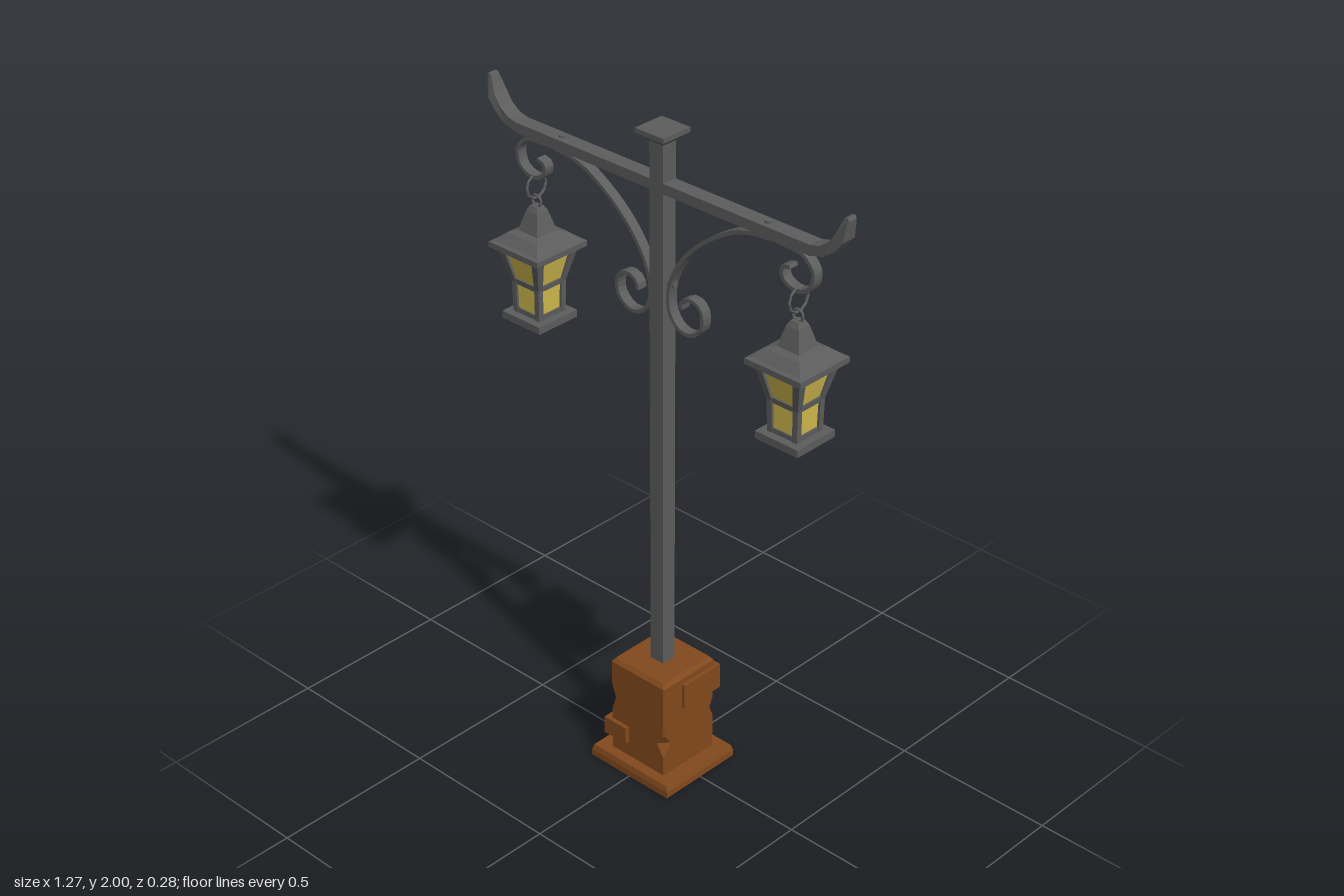
import * as THREE from 'three';

const iron = new THREE.MeshStandardMaterial({ color: 0x5c5c5c });
iron.name = 'iron grey';
const wood = new THREE.MeshStandardMaterial({ color: 0x82491d });
wood.name = 'brown wood';
const glass = new THREE.MeshStandardMaterial({ color: 0xcdb64c });
glass.name = 'yellow glass';

// Faceted mesh with a name
function part(name, geometry, material, parent) {
  const g = geometry.index ? geometry.toNonIndexed() : geometry;
  g.computeVertexNormals();
  const mesh = new THREE.Mesh(g, material);
  mesh.name = name;
  parent.add(mesh);
  return mesh;
}

// Square stepped solid from [half width, y] pairs, bottom to top
function tiers(pairs) {
  const pts = [[0, pairs[0][1]], ...pairs, [0, pairs[pairs.length - 1][1]]];
  return new THREE.LatheGeometry(
    pts.map(([h, y]) => new THREE.Vector2(h * Math.SQRT2, y)), 4, Math.PI / 4);
}

// Closed solid through horizontal loops of [x, y, z] points
function loft(loops) {
  const n = loops[0].length, last = (loops.length - 1) * n, index = [];
  for (let l = 0; l < loops.length - 1; l++) {
    for (let i = 0; i < n; i++) {
      const a = l * n + i, b = l * n + (i + 1) % n;
      index.push(a, b, a + n, b, b + n, a + n);
    }
  }
  for (let i = 1; i < n - 1; i++) index.push(0, i + 1, i, last, last + i, last + i + 1);
  const g = new THREE.BufferGeometry();
  g.setAttribute('position', new THREE.Float32BufferAttribute(loops.flat(2), 3));
  g.setIndex(index);
  return g;
}

// Flat bar following a curve in the xy plane
function ribbon(points, thickness, depth) {
  const curve = new THREE.CatmullRomCurve3(points.map(([x, y]) => new THREE.Vector3(x, y, 0)));
  const left = [], right = [];
  for (let i = 0; i <= 48; i++) {
    const p = curve.getPointAt(i / 48), t = curve.getTangentAt(i / 48);
    const dx = -t.y * thickness / 2, dy = t.x * thickness / 2;
    left.push(new THREE.Vector2(p.x + dx, p.y + dy));
    right.unshift(new THREE.Vector2(p.x - dx, p.y - dy));
  }
  return slab(new THREE.Shape([...left, ...right]), depth);
}

function slab(shape, depth) {
  const g = new THREE.ExtrudeGeometry(shape, { depth, bevelEnabled: false });
  return g.translate(0, 0, -depth / 2);
}

function makePedestal() {
  const g = new THREE.Group();
  g.name = 'pedestal';
  const plinth = part('plinth', tiers([[0.15, 0], [0.15, 0.02], [0.145, 0.037]]), wood, g);
  plinth.scale.z = 0.14 / 0.15;

  // Worn column: [y, half width, cut at front left, back left, back right, front right]
  const levels = [
    [0.03, 0.104, 0.004, 0.004, 0.004, 0.004], [0.10, 0.104, 0.004, 0.004, 0.004, 0.004],
    [0.14, 0.104, 0.028, 0.004, 0.004, 0.004], [0.17, 0.104, 0.008, 0.022, 0.004, 0.004],
    [0.21, 0.104, 0.004, 0.004, 0.004, 0.022], [0.26, 0.104, 0.004, 0.004, 0.004, 0.004],
    [0.338, 0.104, 0.004, 0.004, 0.004, 0.004], [0.35, 0.094, 0.004, 0.004, 0.004, 0.004]];
  part('column', loft(levels.map(([y, h, ...cuts]) => cuts.flatMap((c, k) => {
    let pts = [[h - c, h], [h, h - c]];
    for (let i = 0; i < k; i++) pts = pts.map(([x, z]) => [z, -x]);
    return pts.map(([x, z]) => [x, y, z]);
  }))), wood, g);

  // Corner patches: x range, y range, z range, tilt
  for (const [x0, x1, y0, y1, z0, z1, tilt] of [
    [0, 0.115, 0.24, 0.32, -0.118, 0.03, 0],
    [-0.12, -0.035, 0.085, 0.14, 0.05, 0.117, 0],
    [-0.115, -0.01, 0.145, 0.208, -0.122, 0.0, 0.03]]) {
    const patch = part('cornerPatch', new THREE.BoxGeometry(x1 - x0, y1 - y0, z1 - z0), wood, g);
    patch.position.set((x0 + x1) / 2, (y0 + y1) / 2, (z0 + z1) / 2);
    patch.rotation.y = tilt;
  }
  return g;
}

function makeLantern() {
  const g = new THREE.Group();
  g.name = 'lantern';
  part('roof', tiers([[0.095, 1.495], [0.095, 1.512], [0.083, 1.516], [0.058, 1.54],
    [0.037, 1.546], [0.021, 1.605], [0.013, 1.62]]), iron, g);
  part('basePlate', tiers([[0.073, 1.275], [0.073, 1.297]]), iron, g);
  part('panes', tiers([[0.044, 1.296], [0.046, 1.395], [0.069, 1.496]]), glass, g);
  part('bottomRail', tiers([[0.049, 1.296], [0.049, 1.311]]), iron, g);
  part('middleRail', tiers([[0.051, 1.386], [0.053, 1.402]]), iron, g);
  part('topRail', tiers([[0.071, 1.481], [0.075, 1.497]]), iron, g);
  // Bent corner posts: y, outer half width, post width
  const bend = [[1.295, 0.051, 0.017], [1.393, 0.053, 0.017], [1.497, 0.079, 0.025]];
  for (let k = 0; k < 4; k++) {
    const post = part('cornerPost', loft(bend.map(([y, o, w]) =>
      [[o - w, y, o], [o, y, o], [o, y, o - w], [o - w, y, o - w]])), iron, g);
    post.rotation.y = k * Math.PI / 2;
  }
  // Hanging rings
  const small = part('smallRing', new THREE.TorusGeometry(0.017, 0.004, 5, 10), iron, g);
  small.position.y = 1.634;
  const large = part('largeRing', new THREE.TorusGeometry(0.036, 0.004, 5, 10), iron, g);
  large.position.y = 1.679;
  large.rotation.y = Math.PI / 2;
  return g;
}

function makeArm() {
  const g = new THREE.Group();
  // Beam with upturned end that narrows at the tip
  const outline = [[0, 1.827], [0.52, 1.827], [0.565, 1.84], [0.6, 1.865], [0.624, 1.897],
    [0.635, 1.955], [0.63, 1.965], [0.621, 1.963], [0.6, 1.915], [0.578, 1.883],
    [0.55, 1.864], [0.52, 1.857], [0, 1.857]];
  const beam = slab(new THREE.Shape(outline.map(([x, y]) => new THREE.Vector2(x, y))), 0.046);
  const p = beam.attributes.position;
  for (let i = 0; i < p.count; i++) if (p.getY(i) > 1.95) p.setZ(i, p.getZ(i) * 0.6);
  part('beam', beam, iron, g);

  // Hook above the lantern, arch to the post and curl below
  part('hook', ribbon([[0.36, 1.824], [0.43, 1.823], [0.49, 1.815], [0.526, 1.775],
    [0.515, 1.728], [0.472, 1.709], [0.43, 1.725], [0.424, 1.757], [0.45, 1.768]], 0.011, 0.03), iron, g);
  part('scroll', ribbon([[0.38, 1.822], [0.32, 1.816], [0.254, 1.794], [0.138, 1.715],
    [0.063, 1.625], [0.034, 1.55], [0.038, 1.485], [0.07, 1.447], [0.115, 1.443],
    [0.152, 1.478], [0.148, 1.53], [0.115, 1.547], [0.083, 1.533], [0.078, 1.51]], 0.011, 0.03), iron, g);
  const pin = part('beamPin', new THREE.CylinderGeometry(0.01, 0.01, 0.052, 8), iron, g);
  pin.position.set(0.364, 1.837, 0);
  const rivet = part('postRivet', new THREE.CylinderGeometry(0.01, 0.01, 0.03, 8), iron, g);
  rivet.position.set(0.032, 1.565, 0);
  rivet.rotation.z = Math.PI / 2;
  const lantern = makeLantern();
  lantern.position.x = 0.47;
  g.add(lantern);
  return g;
}

export function createModel() {
  const model = new THREE.Group();
  model.name = 'lampPost';
  model.add(makePedestal());
  part('post', tiers([[0.024, 0.34], [0.024, 1.975]]), iron, model);
  part('postCap', tiers([[0.033, 1.97], [0.05, 1.986], [0.05, 2]]), iron, model);
  ['leftArm', 'rightArm'].forEach((name, i) => {
    const arm = makeArm();
    arm.name = name;
    arm.rotation.y = i * Math.PI;
    model.add(arm);
  });
  return model;
}
